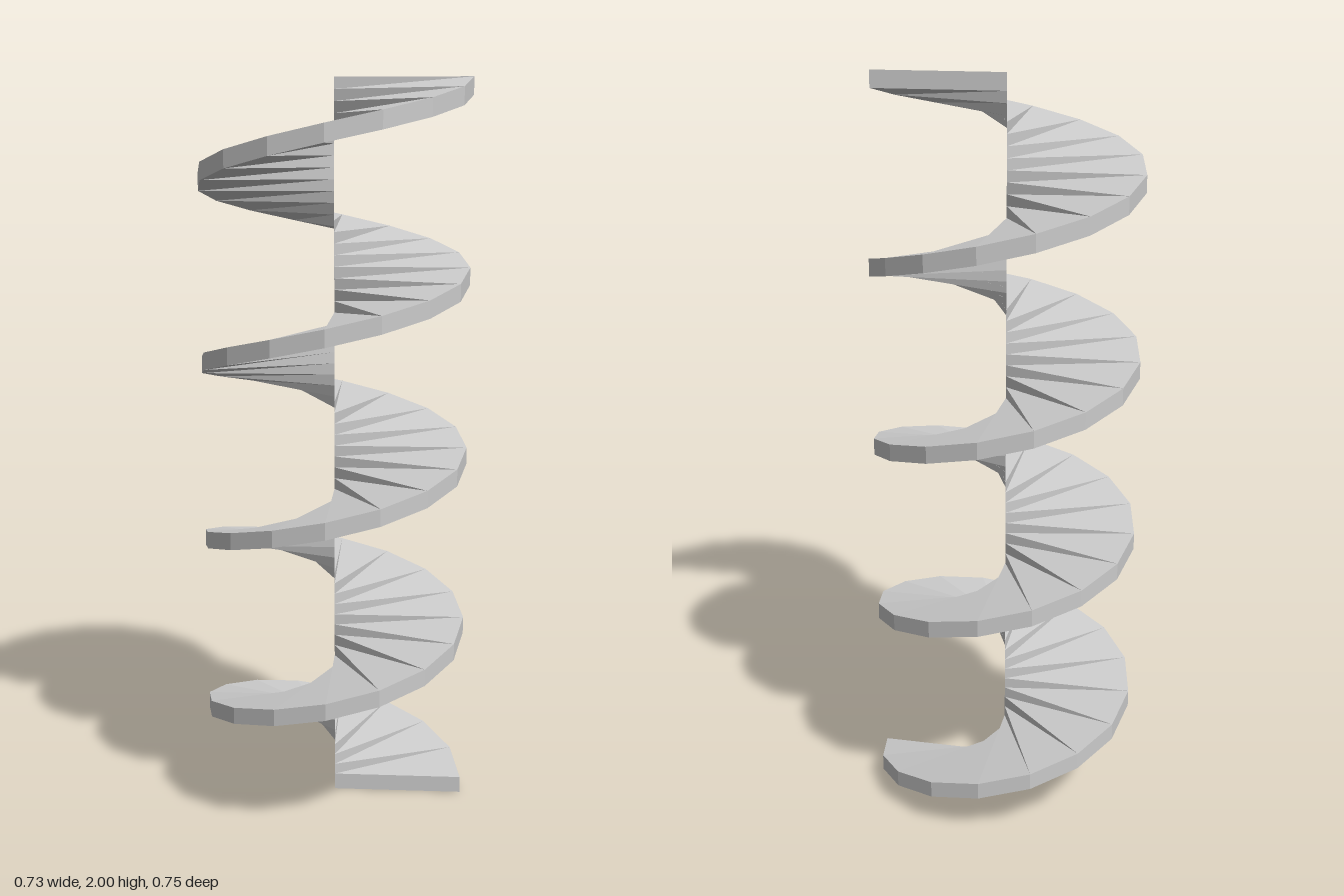
import * as THREE from 'three';

const TURNS = 4, STEPS = 16;          // sectors per turn
const RADIUS = 0.361, THICK = 0.046, HEIGHT = 2;
const START = Math.PI / 8;            // angle of the first blade edge

// Centre line, leaning very slightly
const axisAt = (t) => [-0.008 + 0.013 * t, -0.016 + 0.032 * t];

// Solid ribbon swept round the centre line: one flat cross-section per step
function helicalBlade() {
  const positions = [], index = [];
  const count = TURNS * STEPS;
  for (let i = 0; i <= count; i++) {
    const t = i / count;
    const a = START + (i / STEPS) * Math.PI * 2;
    const y = t * (HEIGHT - THICK);
    const [cx, cz] = axisAt(t);
    const x = cx + RADIUS * Math.cos(a), z = cz - RADIUS * Math.sin(a);
    // inner bottom, outer bottom, outer top, inner top
    positions.push(cx, y, cz, x, y, z, x, y + THICK, z, cx, y + THICK, cz);
  }
  // underside, rim and upper side of each sector
  for (let i = 0; i < count; i++) {
    for (let k = 0; k < 3; k++) {
      const p = i * 4 + k, q = p + 1;
      index.push(p, p + 4, q, q, p + 4, q + 4);
    }
  }
  // end caps
  const e = count * 4;
  index.push(0, 1, 2, 0, 2, 3, e, e + 2, e + 1, e, e + 3, e + 2);

  const indexed = new THREE.BufferGeometry();
  indexed.setAttribute('position', new THREE.Float32BufferAttribute(positions, 3));
  indexed.setIndex(index);
  const geometry = indexed.toNonIndexed();
  geometry.computeVertexNormals();
  return geometry;
}

export function createModel() {
  const group = new THREE.Group();
  group.name = 'spiral';
  const material = new THREE.MeshStandardMaterial({ color: 0xcccccc, flatShading: true });
  const blade = new THREE.Mesh(helicalBlade(), material);
  blade.name = 'helicalBlade';
  group.add(blade);
  return group;
}
